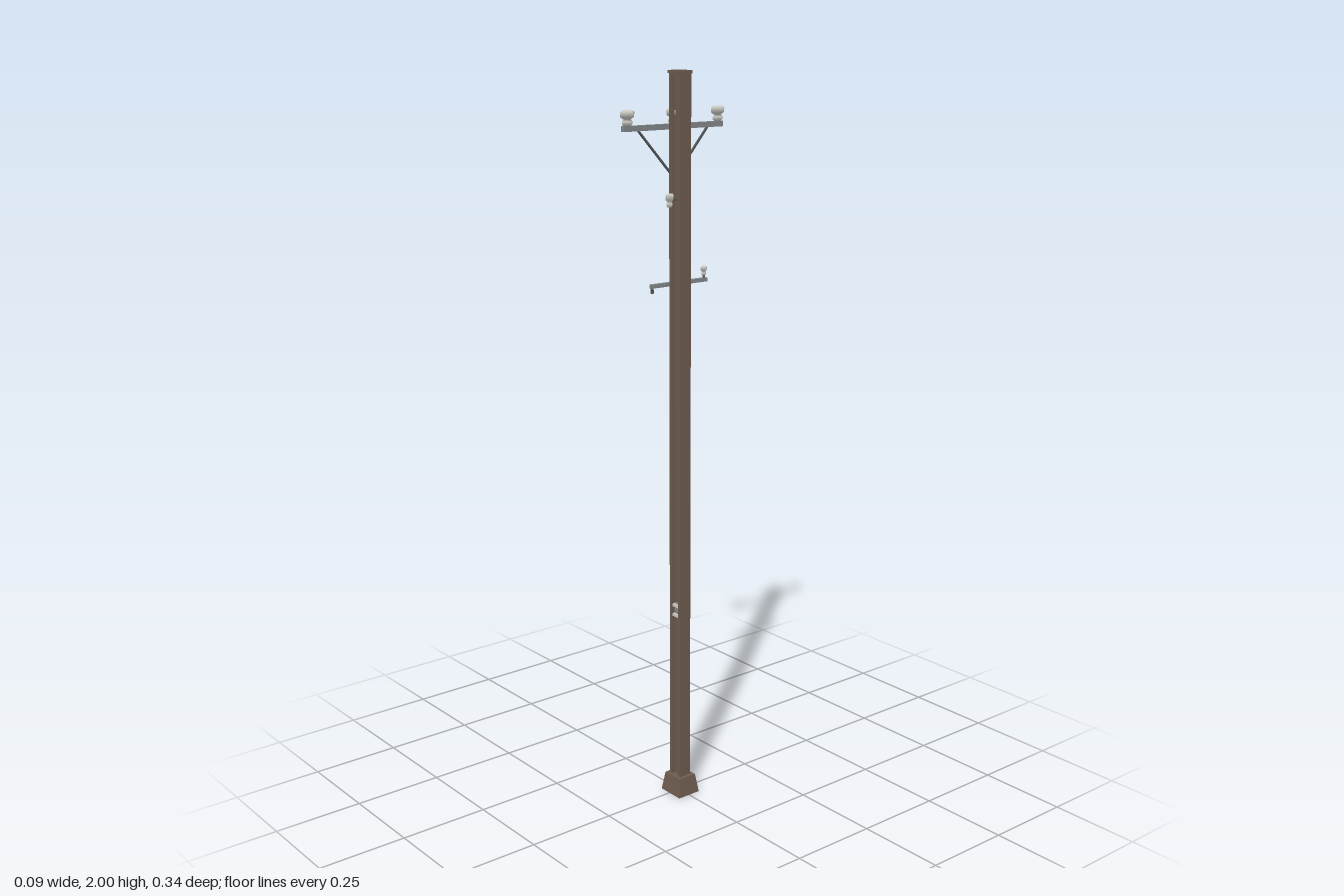
import * as THREE from 'three';

export function createModel() {
  const group = new THREE.Group();
  const mat = (name, color, side = THREE.FrontSide) => {
    const m = new THREE.MeshStandardMaterial({ color, side });
    m.name = name;
    return m;
  };
  const wood = mat('weathered brown', 0x6e5c4f);
  const steel = mat('grey steel', 0x84888a);
  const iron = mat('dark iron', 0x55585a);
  const ceramic = mat('pale ceramic', 0xcfcec6, THREE.DoubleSide);

  const add = (name, geometry, material, x = 0, y = 0, z = 0, parent = group) => {
    const mesh = new THREE.Mesh(geometry, material);
    mesh.name = name;
    mesh.position.set(x, y, z);
    parent.add(mesh);
    return mesh;
  };
  const box = (name, w, h, d, material, x, y, z, parent) =>
    add(name, new THREE.BoxGeometry(w, h, d), material, x, y, z, parent);

  // Thin square bar between two points
  const bar = (name, a, b, size, material) => {
    const from = new THREE.Vector3(...a), to = new THREE.Vector3(...b);
    const mesh = box(name, size, size, from.distanceTo(to), material, 0, 0, 0);
    mesh.position.copy(from).lerp(to, 0.5);
    mesh.lookAt(to);
  };

  // Four-sided bell insulator standing on a pin, origin at its foot
  const insulator = (name, r, h, x, y, z) => {
    const part = new THREE.Group();
    part.name = name;
    part.position.set(x, y, z);
    const profile = [[0, 0], [0.5, 0], [0.72, 0.12], [0.72, 0.3], [0.5, 0.4],
      [0.95, 0.55], [1, 0.85], [0.75, 0.95], [0, 1]]
      .map(([pr, py]) => new THREE.Vector2(pr * r, py * h));
    add('insulatorBody', new THREE.LatheGeometry(profile, 4), ceramic, 0, 0, 0, part);
    group.add(part);
  };

  const cx = 0.004; // pole axis

  // Tapered footing
  const footing = new THREE.BoxGeometry(0.08, 0.053, 0.071);
  const p = footing.attributes.position;
  for (let i = 0; i < p.count; i++) {
    if (p.getY(i) > 0) p.setXYZ(i, p.getX(i) * 0.8, p.getY(i), p.getZ(i) * 0.78);
  }
  footing.computeVertexNormals();
  add('footing', footing, wood, 0.005, 0.0265, 0);

  // H-section pole, channels open to front and back
  const hw = 0.022, hd = 0.0185, flange = 0.009, web = 0.006;
  const section = new THREE.Shape([
    [-hw, -hd], [-hw + flange, -hd], [-hw + flange, -web], [hw - flange, -web],
    [hw - flange, -hd], [hw, -hd], [hw, hd], [hw - flange, hd],
    [hw - flange, web], [-hw + flange, web], [-hw + flange, hd], [-hw, hd],
  ].map(([x, y]) => new THREE.Vector2(x, y)));
  const pole = new THREE.ExtrudeGeometry(section, { depth: 1.94, bevelEnabled: false });
  pole.rotateX(-Math.PI / 2);
  add('pole', pole, wood, cx, 0.052, 0);
  box('poleCap', 0.048, 0.008, 0.042, wood, cx, 1.996, 0);

  // Upper crossarm, its insulators and braces
  const ax = -0.024;
  box('crossarm', 0.013, 0.014, 0.325, steel, ax, 1.859, 0);
  for (const z of [-0.149, 0, 0.148]) insulator('lineInsulator', 0.023, 0.04, ax, 1.866, z);
  for (const s of [-1, 1]) {
    bar('brace', [ax, 1.852, s * 0.113], [-0.019, 1.738, s * 0.01], 0.005, iron);
  }

  // Lower offset arm
  box('lowerArm', 0.012, 0.01, 0.187, steel, ax, 1.453, -0.0185);
  insulator('lowerInsulator', 0.011, 0.026, ax, 1.464, -0.104);
  box('lowerInsulatorPin', 0.005, 0.012, 0.005, iron, ax, 1.461, -0.104);
  box('hangingPin', 0.006, 0.018, 0.006, iron, ax, 1.443, 0.071);

  // Insulator on a short front bracket
  box('frontBracket', 0.005, 0.005, 0.034, iron, 0.008, 1.676, 0.022);
  insulator('frontInsulator', 0.014, 0.036, 0.008, 1.658, 0.038);

  // Small clamp set into the front channel
  box('clampPlate', 0.024, 0.042, 0.004, steel, cx, 0.548, 0.008);
  for (const dy of [-0.014, 0.014]) {
    box('clampBar', 0.025, 0.008, 0.006, ceramic, cx, 0.548 + dy, 0.013);
  }
  return group;
}
